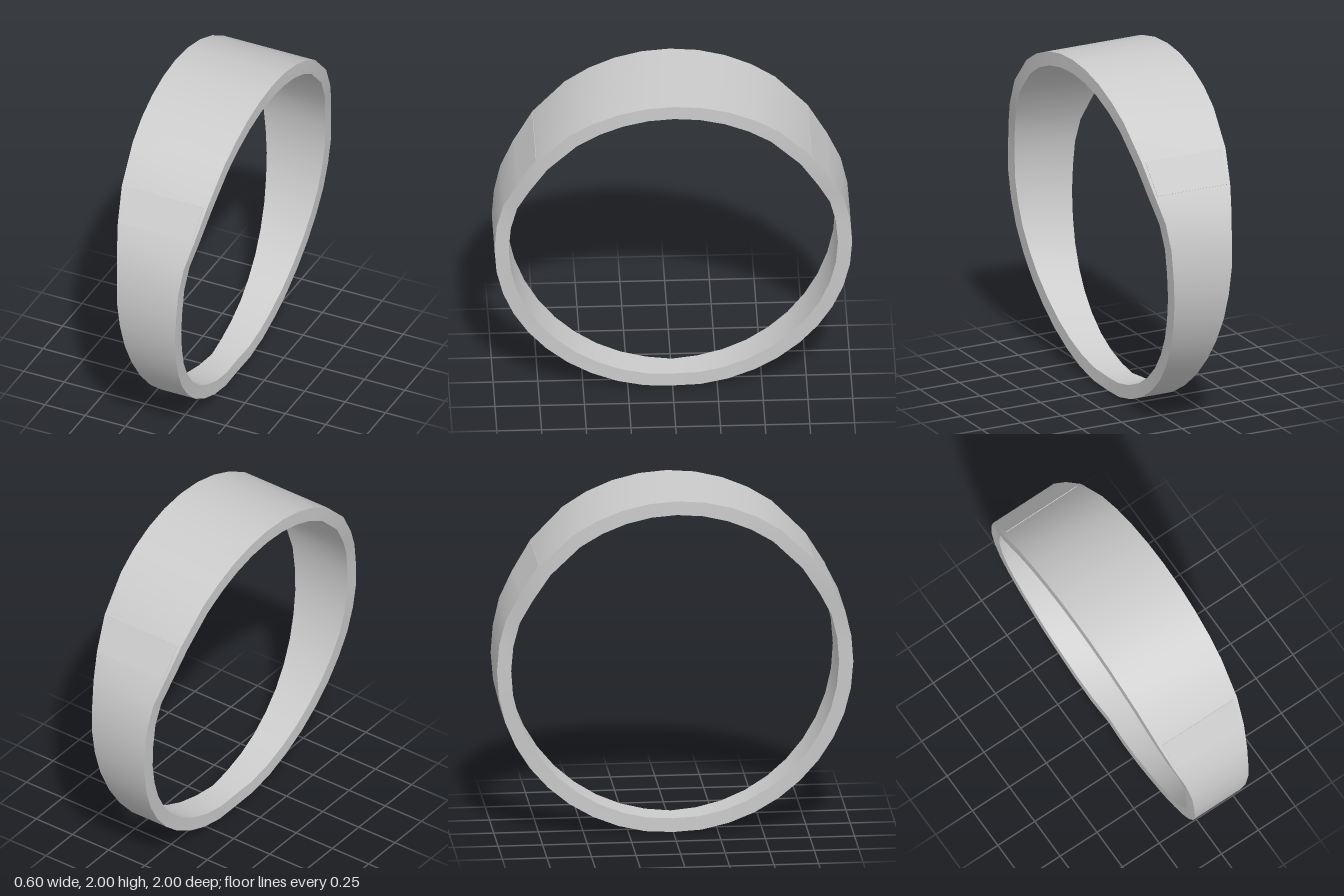
import * as THREE from 'three';
import { toCreasedNormals } from 'three/addons/utils/BufferGeometryUtils.js';

const INNER = 0.92; // inner radius as a share of the outer one

// Half of the ring, top to bottom: [degrees from the top, half width, outer radius]
const STATIONS = [
  [0, 0.3, 1], [9, 0.299, 1], [18, 0.296, 1], [27, 0.291, 1], [36, 0.283, 1],
  [50.7, 0.264, 0.993], [62.6, 0.237, 0.988], [72, 0.207, 1], [81, 0.19, 1],
  [90, 0.183, 1], [99, 0.171, 1], [108, 0.159, 1], [117, 0.144, 1],
  [126, 0.13, 1], [135, 0.117, 1], [144, 0.107, 1], [153, 0.098, 1],
  [162, 0.092, 1], [171, 0.086, 1], [180, 0.076, 1],
];

// Point on the ring's side profile
const onRing = (deg, r) => {
  const t = THREE.MathUtils.degToRad(deg);
  return { y: 1 + r * Math.cos(t), z: r * Math.sin(t) };
};

// Tapering band: a rectangular section carried round the full circle
function bandGeometry() {
  const mirrored = STATIONS.slice(1, -1).reverse().map(([a, w, r]) => [360 - a, w, r]);
  const all = [...STATIONS, ...mirrored];
  const position = [];
  const index = [];
  all.forEach(([a, w, r], i) => {
    const o = onRing(a, r);
    const n = onRing(a, r * INNER);
    position.push(w, o.y, o.z, -w, o.y, o.z, -w, n.y, n.z, w, n.y, n.z);
    const next = (i + 1) % all.length;
    for (let k = 0; k < 4; k++) {
      const l = (k + 1) % 4;
      const p = i * 4 + k, q = i * 4 + l, s = next * 4 + l, t = next * 4 + k;
      index.push(p, q, t, q, s, t);
    }
  });
  const g = new THREE.BufferGeometry();
  g.setAttribute('position', new THREE.Float32BufferAttribute(position, 3));
  g.setIndex(index);
  return toCreasedNormals(g, 0.6);
}

// Flat tapered panel lying on the straight facet of the shoulder
function shoulderPanel(material) {
  const top = onRing(50.7, 0.993);
  const low = onRing(62.6, 0.988);
  const dy = top.y - low.y, dz = low.z - top.z;
  const h = Math.hypot(dy, dz) / 2;
  const outline = new THREE.Shape([
    new THREE.Vector2(-0.222, -h), new THREE.Vector2(0.222, -h),
    new THREE.Vector2(0.242, h), new THREE.Vector2(-0.242, h),
  ]);
  const g = new THREE.ExtrudeGeometry(outline, { depth: 0.02, bevelEnabled: false });
  g.translate(0, 0, -0.017); // stands slightly proud of the band
  const panel = new THREE.Mesh(g, material);
  panel.position.set(0, (top.y + low.y) / 2, (top.z + low.z) / 2);
  panel.rotation.x = -Math.atan2(dz, dy);
  return panel;
}

export function createModel() {
  const model = new THREE.Group();
  model.name = 'ring';
  const material = new THREE.MeshStandardMaterial({ color: 0xcccccc });

  const band = new THREE.Mesh(bandGeometry(), material);
  band.name = 'band';
  model.add(band);

  // Matching panels on the front and back shoulders
  ['frontPanel', 'backPanel'].forEach((name, i) => {
    const side = new THREE.Group();
    side.name = name;
    side.add(shoulderPanel(material));
    side.rotation.y = i * Math.PI;
    model.add(side);
  });
  return model;
}
